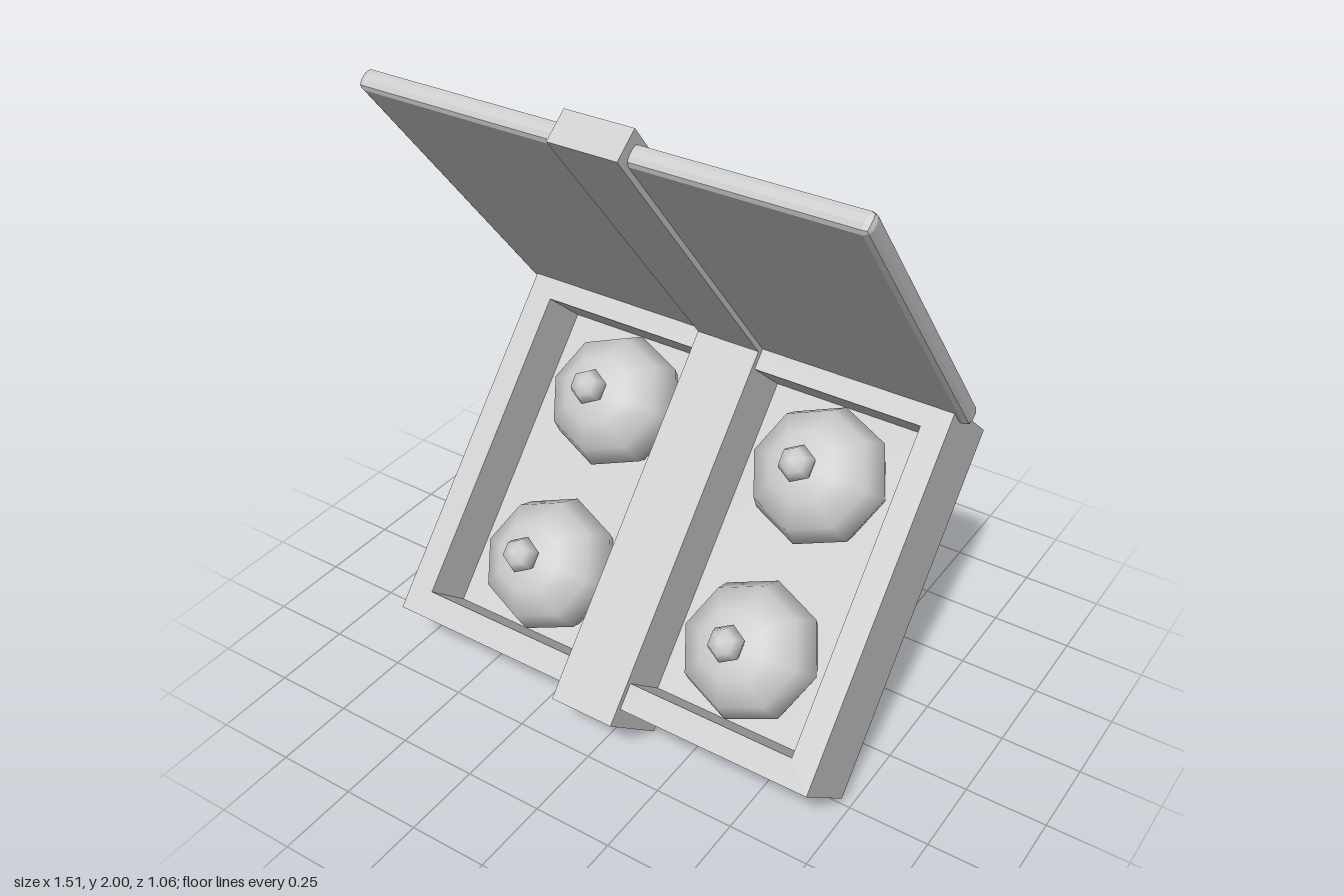
import * as THREE from 'three';
import { RoundedBoxGeometry } from 'three/addons/geometries/RoundedBoxGeometry.js';

const W = 1.45, H = 0.297, D = 1.143;   // tray outer size
const WALL = 0.08, CAVITY = 0.187;      // rim thickness, inner depth
const BAND_W = 0.21, BAND_L = 1.25;

export function createModel() {
  const model = new THREE.Group();
  model.name = 'openBoxWithDumplings';
  const material = new THREE.MeshStandardMaterial({ color: 0xcccccc });

  const add = (parent, name, geometry, x = 0, y = 0, z = 0) => {
    const mesh = new THREE.Mesh(geometry, material);
    mesh.name = name;
    mesh.position.set(x, y, z);
    parent.add(mesh);
    return mesh;
  };
  const rect = (target, w, h) => target
    .moveTo(-w / 2, -h / 2).lineTo(w / 2, -h / 2)
    .lineTo(w / 2, h / 2).lineTo(-w / 2, h / 2).closePath();

  // Tray, tipped towards the front
  const tray = new THREE.Group();
  tray.name = 'tray';
  tray.position.set(0, 0.553, -0.018);
  tray.rotation.x = THREE.MathUtils.degToRad(48);
  model.add(tray);

  const floorY = H / 2 - CAVITY;
  add(tray, 'trayBase', new THREE.BoxGeometry(W, H - CAVITY, D), 0, (floorY - H / 2) / 2, 0);

  const rim = rect(new THREE.Shape(), W, D);
  rim.holes.push(rect(new THREE.Path(), W - 2 * WALL, D - 2 * WALL));
  const walls = new THREE.ExtrudeGeometry(rim, { depth: CAVITY, bevelEnabled: false });
  walls.rotateX(-Math.PI / 2);
  add(tray, 'trayWalls', walls, 0, floorY, 0);

  // Band across the tray, standing slightly proud of it
  add(tray, 'trayBand', new THREE.BoxGeometry(BAND_W, H, BAND_L), 0, 0.02, 0);

  // Four squashed balls, each with a small knob on top
  const ball = new THREE.SphereGeometry(0.215, 8, 6);
  ball.scale(1, 0.83, 1);
  const knob = new THREE.SphereGeometry(0.057, 6, 4);
  knob.rotateY(Math.PI / 6);
  for (const x of [-0.363, 0.363]) {
    for (const z of [-0.272, 0.272]) {
      add(tray, 'ball', ball, x, 0.0125, z);
      add(tray, 'knob', knob, x, 0.206, z);
    }
  }

  // Open lid with chamfered edges and its own band
  const lid = new THREE.Group();
  lid.name = 'lid';
  lid.position.set(0, 1.482, 0.007);
  lid.rotation.x = THREE.MathUtils.degToRad(-52);
  model.add(lid);

  const panel = new RoundedBoxGeometry(1.514, 0.062, 1.185, 1, 0.02);
  panel.computeVertexNormals();
  add(lid, 'lidPanel', panel);
  add(lid, 'lidBand', new THREE.BoxGeometry(BAND_W, 0.096, BAND_L));

  return model;
}
